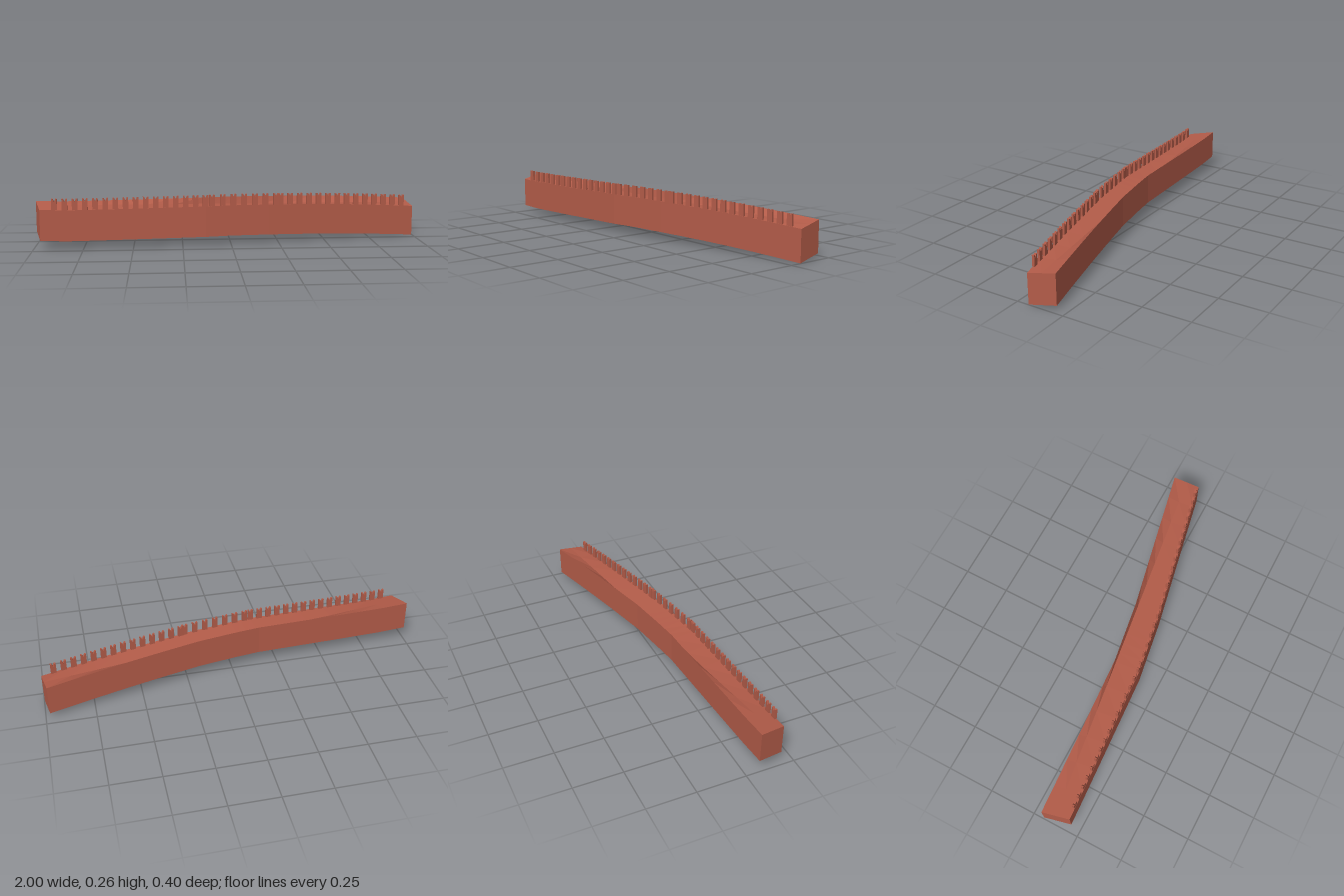
import * as THREE from 'three';

export function createModel() {
  const group = new THREE.Group();
  const brick = new THREE.MeshStandardMaterial({ color: 0xb35c49, side: THREE.DoubleSide, flatShading: true });

  // Plan corners [x, z] of the three straight stretches
  const frontPlan = [[-0.965, 0.2], [-0.13, 0.152], [0.2, 0.1], [0.998, -0.061]];
  const backPlan = [[-1, 0.065], [-0.15, 0.016], [0.18, -0.034], [0.977, -0.202]];
  // Height of the foot along the front edge [x, y]
  const foot = [[-0.965, 0.043], [-0.85, 0.038], [-0.6, 0.039], [-0.3, 0.042], [0, 0.045], [0.2, 0.042],
    [0.4, 0.036], [0.6, 0.027], [0.8, 0.015], [0.998, 0]];
  const wallHeight = 0.158, backRise = 0.025;

  const footAt = x => {
    let i = 0;
    while (i < foot.length - 2 && x > foot[i + 1][0]) i++;
    const [a, b] = [foot[i], foot[i + 1]];
    return a[1] + (b[1] - a[1]) * (x - a[0]) / (b[0] - a[0]);
  };
  const along = (plan, i, t) => [0, 1].map(k => plan[i][k] + (plan[i + 1][k] - plan[i][k]) * t);

  // Stations along the wall: front and back edges, low and high
  const stations = [];
  for (let i = 0; i < 3; i++) {
    for (let j = i ? 1 : 0; j <= 6; j++) {
      const [fx, fz] = along(frontPlan, i, j / 6), [bx, bz] = along(backPlan, i, j / 6);
      const y = footAt(fx);
      stations.push({
        frontLow: new THREE.Vector3(fx, y, fz),
        frontHigh: new THREE.Vector3(fx, y + wallHeight, fz),
        backLow: new THREE.Vector3(bx, y + backRise, bz),
        backHigh: new THREE.Vector3(bx, y + backRise + wallHeight, bz),
      });
    }
  }
  const first = stations[0], last = stations[stations.length - 1];

  // Straight valley line of the walkway, between the middles of the two ends
  const endA = first.frontHigh.clone().lerp(first.backHigh, 0.5);
  const endB = last.frontHigh.clone().lerp(last.backHigh, 0.5);
  for (const s of stations) {
    const t = (s.frontHigh.x - first.frontHigh.x) / (last.frontHigh.x - first.frontHigh.x);
    s.valley = endA.clone().lerp(endB, t);
  }

  const addQuads = (name, quads) => {
    const pts = quads.flatMap(([a, b, c, d]) => [a, b, c, a, c, d]);
    const geo = new THREE.BufferGeometry().setFromPoints(pts);
    geo.computeVertexNormals();
    const mesh = new THREE.Mesh(geo, brick);
    mesh.name = name;
    group.add(mesh);
  };
  const ribbon = (name, near, far) => addQuads(name, stations.slice(1).map((s, i) =>
    [stations[i][near], s[near], s[far], stations[i][far]]));

  // Open-bottomed shell
  ribbon('frontWall', 'frontLow', 'frontHigh');
  ribbon('walkwayFront', 'frontHigh', 'valley');
  ribbon('walkwayBack', 'valley', 'backHigh');
  ribbon('backWall', 'backHigh', 'backLow');
  addQuads('rightEnd', [[first.backLow, first.frontLow, first.frontHigh, first.backHigh]]);
  addQuads('leftEnd', [[last.frontLow, last.backLow, last.backHigh, last.frontHigh]]);

  // Swallow-tailed merlons on the front edge
  const w = 0.014, h = 0.058, thick = 0.012;
  const outline = new THREE.Shape([[-w, -0.006], [w, -0.006], [w, h], [w * 0.5, h], [0, h - 0.016], [-w * 0.5, h], [-w, h]]
    .map(p => new THREE.Vector2(...p)));
  const merlonGeo = new THREE.ExtrudeGeometry(outline, { depth: thick, bevelEnabled: false });
  merlonGeo.translate(0, 0, -thick - 0.001);
  const runs = [[-0.892, -0.132, 16], [-0.098, 0.238, 7], [0.262, 0.935, 14]];
  const merlons = new THREE.Group();
  merlons.name = 'battlements';
  runs.forEach(([from, to, count], i) => {
    const [a, b] = [frontPlan[i], frontPlan[i + 1]];
    const slope = (b[1] - a[1]) / (b[0] - a[0]);
    for (let k = 0; k < count; k++) {
      const x = from + (to - from) * k / (count - 1);
      const m = new THREE.Mesh(merlonGeo, brick);
      m.name = 'merlon';
      m.position.set(x, footAt(x) + wallHeight, a[1] + slope * (x - a[0]));
      m.rotation.y = -Math.atan(slope);
      merlons.add(m);
    }
  });
  group.add(merlons);
  return group;
}
